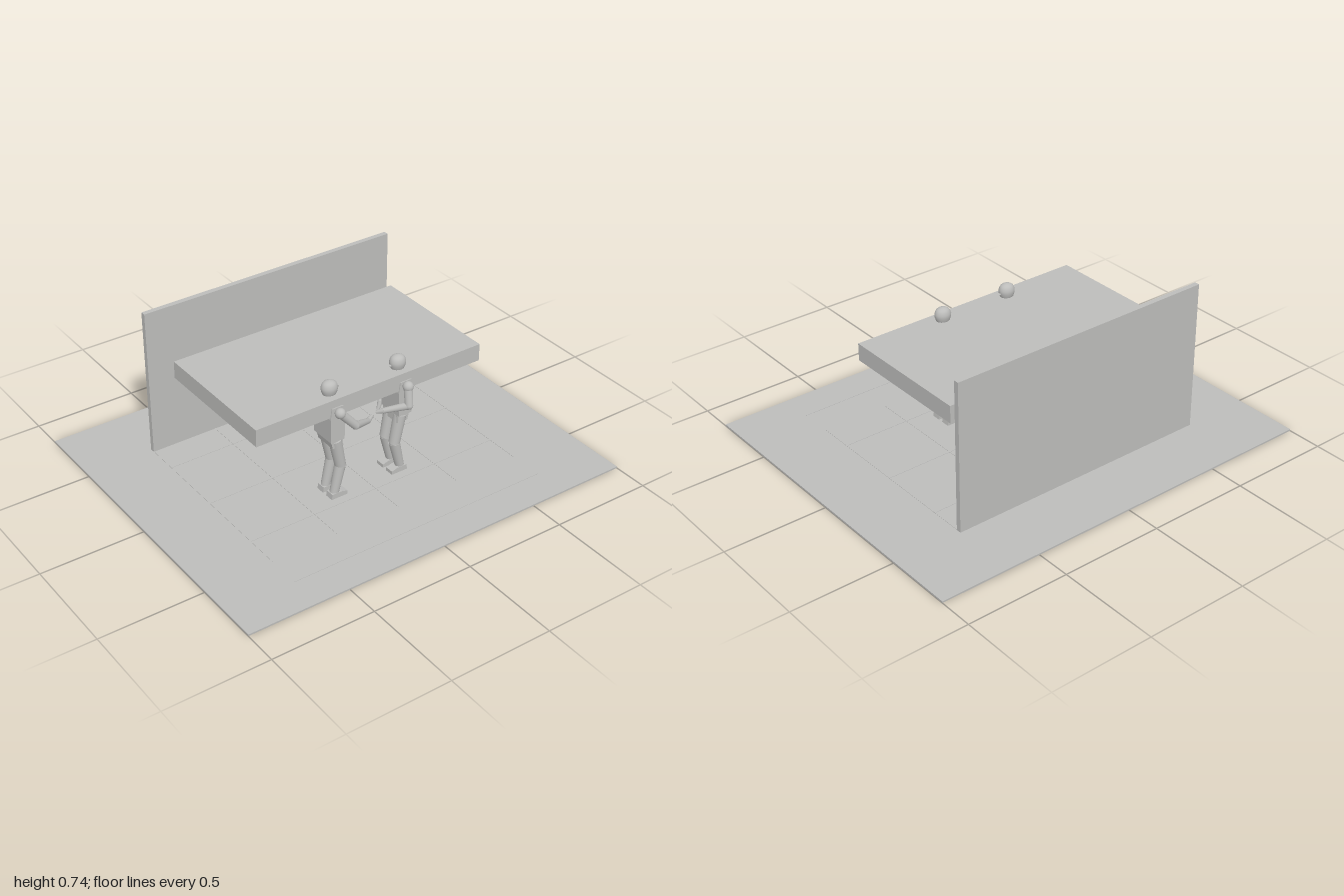
import * as THREE from 'three';

const grey = new THREE.MeshStandardMaterial({ color: 0xbcbcba });
grey.name = 'plainGrey';

function add(parent, name, geometry, x = 0, y = 0, z = 0) {
  const mesh = new THREE.Mesh(geometry, grey);
  mesh.name = name;
  mesh.position.set(x, y, z);
  parent.add(mesh);
  return mesh;
}

// box given by its low and high corners
function block(parent, name, [x0, y0, z0], [x1, y1, z1]) {
  return add(parent, name, new THREE.BoxGeometry(x1 - x0, y1 - y0, z1 - z0),
    (x0 + x1) / 2, (y0 + y1) / 2, (z0 + z1) / 2);
}

// tapered limb running from a to b
function limb(parent, name, a, b, ra, rb) {
  const p = new THREE.Vector3(...a), q = new THREE.Vector3(...b);
  const d = q.clone().sub(p);
  const mesh = add(parent, name, new THREE.CylinderGeometry(rb, ra, d.length(), 16));
  mesh.position.copy(p).add(q).multiplyScalar(0.5);
  mesh.quaternion.setFromUnitVectors(new THREE.Vector3(0, 1, 0), d.normalize());
  return mesh;
}

function arm(parent, name, [shoulder, elbow, wrist, tip]) {
  const g = new THREE.Group();
  g.name = name;
  parent.add(g);
  add(g, 'shoulder', new THREE.SphereGeometry(0.025, 16, 12), ...shoulder);
  limb(g, 'upperArm', shoulder, elbow, 0.021, 0.019);
  add(g, 'elbow', new THREE.SphereGeometry(0.019, 16, 12), ...elbow);
  limb(g, 'forearm', elbow, wrist, 0.018, 0.013);
  limb(g, 'hand', wrist, tip, 0.013, 0.007);
}

// side profile, given as points ahead/up, given a width along z
function sideSlab(parent, name, points, z, width) {
  const geo = new THREE.ExtrudeGeometry(
    new THREE.Shape(points.map(p => new THREE.Vector2(...p))),
    { depth: width, bevelEnabled: false });
  return add(parent, name, geo, 0, 0, z - width / 2);
}

// standing figure at x = cx, looking along f (+1 or -1 in x)
function figure(name, cx, f, frontArm) {
  const g = new THREE.Group();
  g.name = name;
  const zc = 0.235, X = d => cx + f * d;

  // egg-shaped head with a small nose and a neck
  const egg = [[0, -0.045], [0.018, -0.04], [0.03, -0.024], [0.037, 0],
    [0.035, 0.017], [0.028, 0.03], [0.015, 0.038], [0, 0.041]];
  const curve = new THREE.SplineCurve(egg.map(p => new THREE.Vector2(...p)));
  const pts = curve.getPoints(20);
  pts.forEach(p => { p.x = Math.max(0, p.x); });
  const head = add(g, 'head', new THREE.LatheGeometry(pts, 24), X(0), 0.558, zc);
  head.scale.set(1.06, 1, 0.92);
  const nose = add(g, 'nose', new THREE.ConeGeometry(0.008, 0.018, 8), X(0.043), 0.554, zc);
  nose.rotation.z = -f * Math.PI / 2;
  limb(g, 'neck', [X(0), 0.48, zc], [X(0), 0.53, zc], 0.019, 0.018);

  // chest and pelvis
  const shape = (list) => {
    const out = list.map(([d, y]) => [X(d), y]);
    return f > 0 ? out : out.reverse();
  };
  sideSlab(g, 'chest', shape([[-0.036, 0.32], [0.036, 0.32], [0.038, 0.44],
    [0.03, 0.495], [-0.03, 0.495], [-0.038, 0.44]]), zc, 0.13);
  sideSlab(g, 'pelvis', shape([[-0.02, 0.28], [0.036, 0.28],
    [0.034, 0.32], [-0.03, 0.32]]), zc, 0.11);

  // bent legs and wedge-toed feet
  for (const s of [-1, 1]) {
    const z = zc + s * 0.034;
    limb(g, 'thigh', [X(0.006), 0.31, z], [X(0.034), 0.168, z], 0.03, 0.026);
    add(g, 'knee', new THREE.SphereGeometry(0.025, 16, 12), X(0.034), 0.165, z);
    limb(g, 'shin', [X(0.034), 0.165, z], [X(0.0), 0.022, z], 0.026, 0.021);
    sideSlab(g, 'foot', shape([[-0.026, 0.008], [0.06, 0.008], [0.06, 0.025],
      [0.03, 0.034], [-0.022, 0.034]]), z, 0.044);
  }

  // far arm bent back with the hand at the hip, near arm reaching forward
  arm(g, 'hipArm', [[X(0), 0.472, 0.15], [X(-0.042), 0.39, 0.128],
    [X(0.018), 0.31, 0.138], [X(0.036), 0.275, 0.145]]);
  arm(g, 'reachingArm', frontArm);
  return g;
}

export function createModel() {
  const model = new THREE.Group();
  model.name = 'stage';

  // ground sheet, rear wall and raised slab
  block(model, 'floor', [-1, 0, -0.832], [1, 0.008, 0.832]);
  block(model, 'rearWall', [-0.667, 0.008, -0.515], [0.667, 0.74, -0.49]);
  block(model, 'raisedSlab', [-0.6, 0.45, -0.37], [0.6, 0.535, 0.295]);

  // thin marking lines on the floor
  const w = 0.0015, top = 0.0095;
  for (const x of [-0.665, -0.333, 0, 0.333, 0.665])
    block(model, 'lengthLine', [x - w, 0.008, -0.49], [x + w, top, 0.5]);
  for (const z of [-0.333, 0, 0.333, 0.665])
    block(model, 'crossLine', [-0.667, 0.008, z - w], [0.667, top, z + w]);

  // two figures reaching towards each other
  model.add(figure('leftFigure', -0.185, 1, [[-0.185, 0.474, 0.318],
    [-0.11, 0.388, 0.327], [0.005, 0.332, 0.262], [0.045, 0.335, 0.24]]));
  model.add(figure('rightFigure', 0.182, -1, [[0.18, 0.476, 0.318],
    [0.17, 0.392, 0.34], [0.085, 0.36, 0.27], [0.06, 0.348, 0.245]]));
  return model;
}
